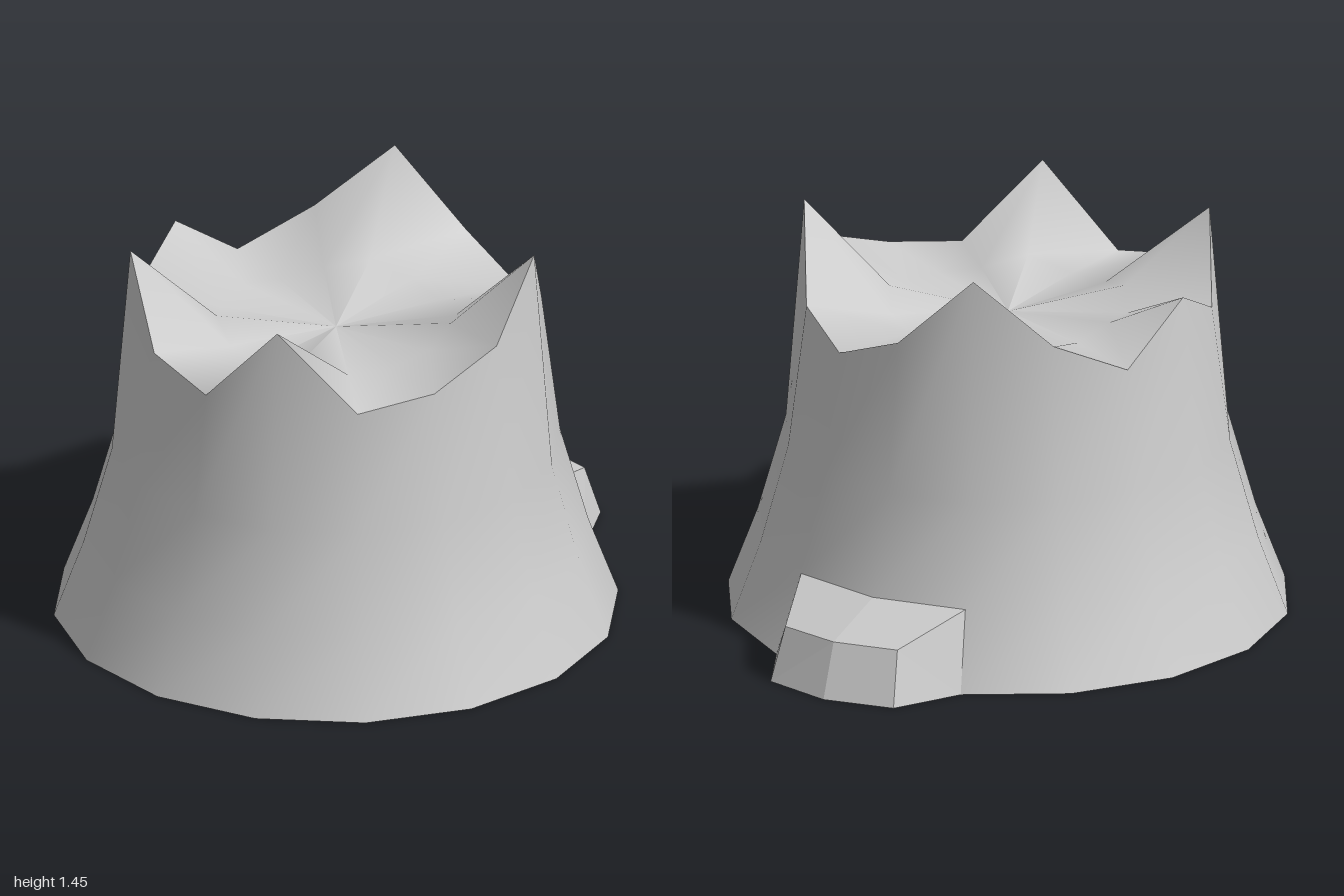
import * as THREE from 'three';

const SIDES = 16;
// Splintered rim heights, from the front (+z) round towards +x
const RIM = [1.07, 1.11, 1.21, 1.445, 1.15, 1.07, 1.18, 1.445, 1.2, 1.07, 1.265, 1.13, 1.4, 1.13, 1.07, 1.37];

// One ring of points; height is a function of the side index
function ring(radius, height) {
  return Array.from({ length: SIDES }, (_, i) => {
    const a = (i / SIDES) * Math.PI * 2;
    return [radius * Math.sin(a), height(i), radius * Math.cos(a)];
  });
}

// Skin of quads through sections of equal length
function loft(sections, closed) {
  const n = sections[0].length;
  const index = [];
  for (let s = 0; s < sections.length - 1; s++) {
    for (let i = 0; i < (closed ? n : n - 1); i++) {
      const j = (i + 1) % n;
      const a = s * n + i, b = s * n + j, c = b + n, d = a + n;
      index.push(a, b, c, a, c, d);
    }
  }
  const geometry = new THREE.BufferGeometry();
  geometry.setAttribute('position', new THREE.Float32BufferAttribute(sections.flat(2), 3));
  geometry.setIndex(index);
  geometry.computeVertexNormals();
  return geometry;
}

export function createModel() {
  const group = new THREE.Group();
  group.name = 'treeStump';
  const smooth = new THREE.MeshStandardMaterial({ color: 0xcccccc, side: THREE.DoubleSide });
  const flat = new THREE.MeshStandardMaterial({ color: 0xcccccc, flatShading: true, side: THREE.DoubleSide });
  const add = (name, geometry, material) => {
    const mesh = new THREE.Mesh(geometry, material);
    mesh.name = name;
    group.add(mesh);
    return mesh;
  };

  // Flared bark wall up to the jagged rim
  const rim = ring(0.725, (i) => RIM[i]);
  add('bark', loft([
    ring(0.995, () => 0),
    ring(0.89, () => 0.28),
    ring(0.79, () => 0.635),
    rim,
  ], true), smooth);

  // Hollowed broken wood inside the rim
  add('brokenTop', loft([
    rim,
    ring(0.42, (i) => 1.1 + 0.16 * (RIM[i] - 1.2)),
    ring(0.001, () => 1.07),
  ], true), smooth);

  // Flat underside
  const base = new THREE.CircleGeometry(0.995, SIDES);
  base.rotateX(Math.PI / 2);
  add('underside', base, flat);

  // Root stub at the back: four lines swept round, closed underneath
  const foot = [[0.92, 0, -0.38], [0.704, 0, -0.704], [0.38, 0, -0.92]];
  const toe = [[1, 0, -0.64], [0.86, 0, -0.86], [0.64, 0, -1]];
  const brow = [[0.94, 0.19, -0.61], [0.81, 0.19, -0.8], [0.61, 0.19, -0.93]];
  const crown = [[0.822, 0.28, -0.341], [0.629, 0.28, -0.629], [0.341, 0.28, -0.822]];
  add('rootStub', loft([foot, toe, brow, crown], false), flat);

  // End faces of the root stub
  const end = (i) => loft([[foot[i], toe[i]], [crown[i], brow[i]]], false);
  const rightEnd = end(2);
  rightEnd.setIndex(rightEnd.index.array.toReversed ? [...rightEnd.index.array].reverse() : rightEnd.index);
  add('rootEndLeft', end(0), flat);
  add('rootEndRight', rightEnd, flat);

  return group;
}
